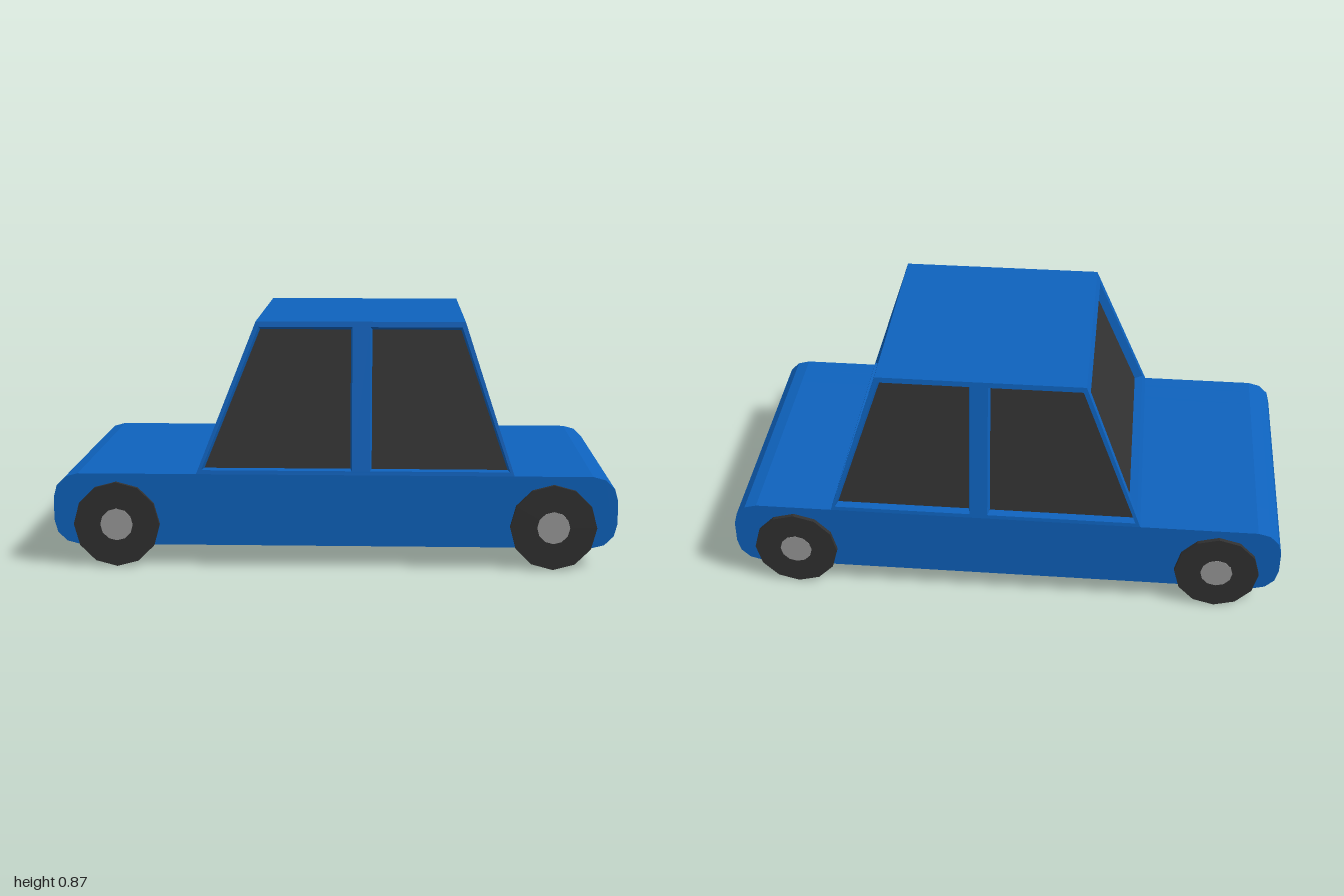
import * as THREE from 'three';

const mat = (name, color) => {
  const m = new THREE.MeshStandardMaterial({ color });
  m.name = name;
  m.flatShading = true;
  return m;
};

const BASE = 0.335, ROOF = 0.87, HALF = 0.485, ROOF_HALF = 0.403;
const RISE = ROOF - BASE;

export function createModel() {
  const paint = mat('blue paint', 0x0e62bd);
  const glass = mat('dark glass', 0x333333);
  const rubber = mat('tyre rubber', 0x303030);
  const metal = mat('light grey', 0x999999);

  const car = new THREE.Group();
  car.name = 'car';
  const add = (parent, name, geo, material) => {
    const mesh = new THREE.Mesh(geo, material);
    mesh.name = name;
    parent.add(mesh);
    return mesh;
  };

  // Lower body: rounded side profile, extruded in slices so the lamps sit in pockets
  const profile = (pocket) => {
    const r = 0.088, bottom = 0.077, pts = [];
    const corner = (x, y, start) => {
      for (let i = 0; i <= 3; i++) {
        const a = start + (i * Math.PI) / 6;
        pts.push(new THREE.Vector2(x + r * Math.cos(a), y + r * Math.sin(a)));
      }
    };
    corner(1 - r, bottom + r, -Math.PI / 2);
    corner(1 - r, BASE - r, 0);
    corner(r - 1, BASE - r, Math.PI / 2);
    if (pocket) {
      for (const [x, y] of [[-1, 0.242], [-0.98, 0.242], [-0.98, 0.168], [-1, 0.168]]) {
        pts.push(new THREE.Vector2(x, y));
      }
    }
    corner(r - 1, bottom + r, Math.PI);
    return new THREE.Shape(pts);
  };
  const body = new THREE.Group();
  body.name = 'body';
  car.add(body);
  const cuts = [-HALF, -0.42, -0.33, 0.33, 0.42, HALF];
  for (let i = 0; i < 5; i++) {
    const depth = cuts[i + 1] - cuts[i];
    const geo = new THREE.ExtrudeGeometry(profile(i % 2 === 1), { depth, bevelEnabled: false });
    geo.translate(0, 0, cuts[i]);
    add(body, i % 2 ? 'lampSlice' : 'bodySlice', geo, paint);
  }

  // Headlamps
  for (const s of [-1, 1]) {
    const lamp = add(car, 'headlamp', new THREE.BoxGeometry(0.006, 0.074, 0.09), metal);
    lamp.position.set(-0.979, 0.205, s * 0.375);
  }

  // Cabin wall: a sloped frame with tapered window reveals and sunken panes.
  // Outline and openings are given as (across, height above the body).
  const cabin = new THREE.Group();
  cabin.name = 'cabin';
  car.add(cabin);
  const SINK = 0.03;
  const wall = (name, outline, openings, origin, across, up) => {
    const normal = across.clone().cross(up).normalize();
    const place = new THREE.Matrix4().makeBasis(across, up, normal).setPosition(origin);
    const vec = (list) => list.map(([x, y]) => new THREE.Vector2(x, y));
    const frame = new THREE.Shape(vec(outline));
    const group = new THREE.Group();
    group.name = name;
    cabin.add(group);
    for (const opening of openings) {
      const rim = vec(opening);
      frame.holes.push(new THREE.Path(rim));
      const centre = rim.reduce((s, p) => s.add(p), new THREE.Vector2()).divideScalar(4);
      const inner = rim.map((p) => p.clone().sub(centre).multiplyScalar(0.972).add(centre));
      const pos = [];
      for (let i = 0; i < 4; i++) {
        const j = (i + 1) % 4;
        const a = [rim[i].x, rim[i].y, 0], b = [rim[j].x, rim[j].y, 0];
        const c = [inner[j].x, inner[j].y, -SINK], d = [inner[i].x, inner[i].y, -SINK];
        pos.push(...a, ...b, ...c, ...a, ...c, ...d);
      }
      const reveal = new THREE.BufferGeometry();
      reveal.setAttribute('position', new THREE.Float32BufferAttribute(pos, 3));
      reveal.computeVertexNormals();
      add(group, 'windowReveal', reveal.applyMatrix4(place), paint);
      const pane = new THREE.ShapeGeometry(new THREE.Shape(inner)).translate(0, 0, -SINK);
      add(group, 'windowPane', pane.applyMatrix4(place), glass);
    }
    add(group, 'windowFrame', new THREE.ShapeGeometry(frame).applyMatrix4(place), paint);
  };

  // Side walls, the far one mirrored along x
  const sideOutline = [[-0.49, 0], [0.635, 0], [0.46, RISE], [-0.28, RISE]];
  const sideOpenings = [
    [[-0.472, 0.014], [0.062, 0.014], [0.062, 0.516], [-0.27, 0.516]],
    [[0.126, 0.014], [0.62, 0.014], [0.449, 0.516], [0.126, 0.516]],
  ];
  const mirror = (list) => list.map(([x, y]) => [-x, y]).reverse();
  const lean = (HALF - ROOF_HALF) / RISE;
  wall('leftSide', sideOutline, sideOpenings, new THREE.Vector3(0, BASE, HALF),
    new THREE.Vector3(1, 0, 0), new THREE.Vector3(0, 1, -lean));
  wall('rightSide', mirror(sideOutline), sideOpenings.map(mirror), new THREE.Vector3(0, BASE, -HALF),
    new THREE.Vector3(-1, 0, 0), new THREE.Vector3(0, 1, lean));

  // Windscreen and rear window walls
  const endOutline = [[-HALF, 0], [HALF, 0], [ROOF_HALF, RISE], [-ROOF_HALF, RISE]];
  const endOpening = [[-0.45, 0.033], [0.45, 0.033], [0.376, 0.501], [-0.376, 0.501]];
  wall('rearWindow', endOutline, [endOpening], new THREE.Vector3(0.635, BASE, 0),
    new THREE.Vector3(0, 0, -1), new THREE.Vector3(-0.175 / RISE, 1, 0));
  wall('windscreen', endOutline, [endOpening], new THREE.Vector3(-0.49, BASE, 0),
    new THREE.Vector3(0, 0, 1), new THREE.Vector3(0.21 / RISE, 1, 0));

  // Roof
  const roof = new THREE.PlaneGeometry(0.74, ROOF_HALF * 2).rotateX(-Math.PI / 2);
  add(cabin, 'roof', roof.translate(0.09, ROOF, 0), paint);

  // Wheels with hubcaps
  for (const x of [-0.775, 0.775]) {
    for (const s of [-1, 1]) {
      const wheel = new THREE.Group();
      wheel.name = 'wheel';
      wheel.position.set(x, 0.153, s * 0.472);
      car.add(wheel);
      add(wheel, 'tyre', new THREE.CylinderGeometry(0.153, 0.153, 0.056, 12).rotateX(Math.PI / 2), rubber);
      const hub = new THREE.CylinderGeometry(0.058, 0.058, 0.006, 12).rotateX(Math.PI / 2);
      add(wheel, 'hubcap', hub, metal).position.z = s * 0.0265;
    }
  }
  return car;
}
